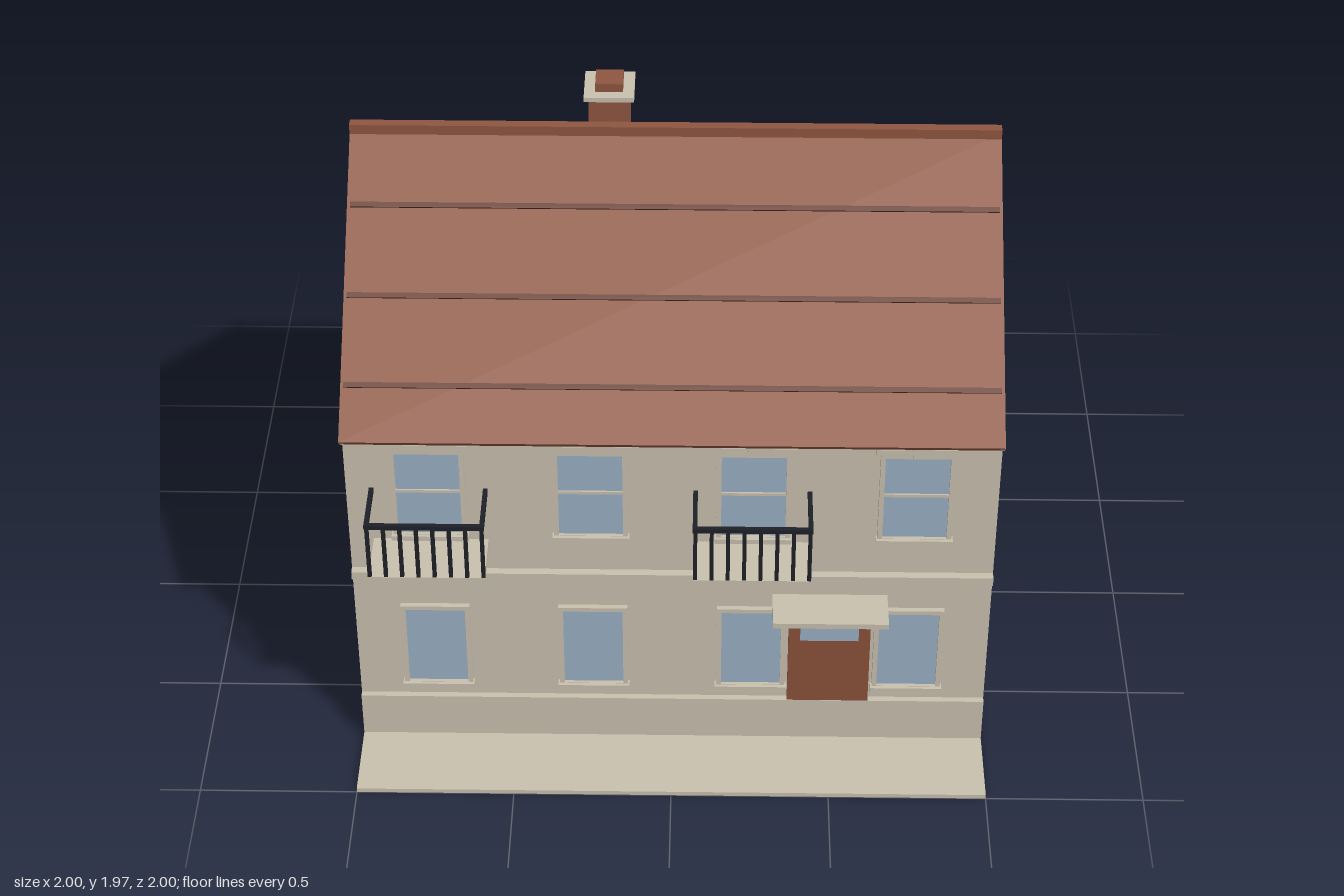
import * as THREE from 'three';

const mat = (name, color, extra = {}) => new THREE.MeshStandardMaterial({ name, color, ...extra });

export function createModel() {
  const stone = mat('stone', 0xc9c1af);
  const clay = mat('clay', 0x8f5640);
  const darkClay = mat('dark clay', 0x653727);
  const wood = mat('door wood', 0x8b513a);
  const glass = mat('glass', 0x9ab0c4);
  const iron = mat('iron', 0x1e2028);
  const leaf = mat('leaf', 0x4f8044, { flatShading: true });
  const red = mat('red flower', 0xb03a34);
  const pink = mat('pale flower', 0xdcb4ac);

  const model = new THREE.Group();
  model.name = 'townHouse';

  const add = (parent, name, geometry, material) => {
    const mesh = new THREE.Mesh(geometry, material);
    mesh.name = name;
    parent.add(mesh);
    return mesh;
  };
  // Box given by its limits on each axis
  const box = (parent, name, material, [x0, x1], [y0, y1], [z0, z1]) => {
    const mesh = add(parent, name, new THREE.BoxGeometry(x1 - x0, y1 - y0, z1 - z0), material);
    mesh.position.set((x0 + x1) / 2, (y0 + y1) / 2, (z0 + z1) / 2);
    return mesh;
  };
  const group = (name, x = 0, z = 0) => {
    const g = new THREE.Group();
    g.name = name;
    g.position.set(x, 0, z);
    model.add(g);
    return g;
  };
  // Profile of [z, y] points run along x
  const run = (name, material, points, x0, x1) => {
    const shape = new THREE.Shape(points.map(([z, y]) => new THREE.Vector2(z, y)));
    const geometry = new THREE.ExtrudeGeometry(shape, { depth: x1 - x0, bevelEnabled: false });
    geometry.rotateY(-Math.PI / 2).translate(x1, 0, 0);
    return add(model, name, geometry, material);
  };

  const FRONT = 0.72, BACK = -0.64, RIDGE = 0.04, TOP = 1.89, REACH = 0.76, EAVE = 1.26;
  const slope = (TOP - EAVE) / REACH;
  const angle = Math.atan(slope);
  const roofY = z => TOP - slope * Math.abs(z - RIDGE);

  // Ground and walls
  box(model, 'groundSlab', stone, [-1, 1], [0, 0.015], [-1, 1]);
  run('walls', stone, [
    [FRONT, 0.005], [FRONT, roofY(FRONT) - 0.025], [RIDGE, TOP - 0.025],
    [BACK, roofY(BACK) - 0.025], [BACK, 0.005],
  ], -1, 1);
  box(model, 'plinth', stone, [-1, 1], [0.005, 0.175], [FRONT - 0.01, 0.74]);
  box(model, 'floorBand', stone, [-1, 1], [0.672, 0.702], [FRONT - 0.01, 0.746]);
  box(model, 'cornice', stone, [-1, 1], [1.215, 1.245], [FRONT - 0.01, 0.755]);

  // Roof layers between two depths below the top surface
  const roofLayer = (name, material, t0, t1, x0, x1) => {
    const eave = (side, t) => [
      RIDGE + side * (REACH - t * Math.sin(angle)), EAVE - t * Math.cos(angle)];
    const apex = t => [RIDGE, TOP - t / Math.cos(angle)];
    run(name, material, [
      eave(1, t0), apex(t0), eave(-1, t0), eave(-1, t1), apex(t1), eave(1, t1),
    ], x0, x1);
  };
  roofLayer('roofTiles', clay, 0, 0.012, -1, 1);
  roofLayer('roofUnderside', clay, 0.012, 0.028, -0.985, 0.985);
  for (const s of [-1, 1]) {
    roofLayer('vergeBoard', stone, 0.012, 0.03, Math.min(s, s * 0.985), Math.max(s, s * 0.985));
  }
  box(model, 'ridgeCap', clay, [-1, 1], [1.87, 1.91], [0.023, 0.055]);
  for (const z of [0.23, 0.45, 0.665, -0.12, -0.335, -0.555]) {
    const strip = box(model, 'tileCourse', darkClay, [-0.99, 0.99], [0, 0.014], [0, 0.016]);
    strip.position.set(0, roofY(z) + 0.002, z);
    strip.rotation.x = Math.sign(z - RIDGE) * angle;
  }

  // Chimney
  const chimney = group('chimney', -0.207, -0.14);
  box(chimney, 'chimneyStack', clay, [-0.064, 0.064], [1.6, 1.928], [-0.064, 0.064]);
  box(chimney, 'chimneyCap', stone, [-0.078, 0.078], [1.926, 1.942], [-0.078, 0.078]);
  box(chimney, 'chimneyPot', clay, [-0.043, 0.043], [1.942, 1.97], [-0.043, 0.043]);

  // Window facing +z from its own wall plane; hw is half the glass width
  const windowAt = (name, x, z, hw, y0, y1, trim) => {
    const g = group(name, x, z);
    const rect = (Type, w, a, b) => new Type(
      [[-w, a], [w, a], [w, b], [-w, b]].map(p => new THREE.Vector2(...p)));
    const frame = rect(THREE.Shape, hw + 0.015, y0 - 0.015, y1 + 0.015);
    frame.holes.push(rect(THREE.Path, hw, y0, y1));
    add(g, 'windowFrame',
      new THREE.ExtrudeGeometry(frame, { depth: 0.017, bevelEnabled: false }), stone);
    box(g, 'windowPane', glass, [-hw, hw], [y0, y1], [-0.002, 0.006]);
    box(g, 'windowSill', stone, [-hw - 0.02, hw + 0.02], [y0 - 0.018, y0 - 0.001], [-0.005, 0.028]);
    if (trim) {
      box(g, 'windowBar', stone, [-hw, hw], [1.013, 1.023], [0, 0.012]);
      box(g, 'windowLintel', stone, [-hw - 0.031, hw + 0.031], [1.187, 1.207], [-0.005, 0.026]);
      box(g, 'keystone', stone, [-0.018, 0.018], [1.178, 1.215], [-0.005, 0.031]);
    }
    return g;
  };
  for (const x of [-0.747, -0.25, 0.25, 0.747]) {
    windowAt('upperWindow', x, FRONT, 0.099, 0.852, 1.166, true);
    windowAt('lowerWindow', x, FRONT, 0.094, 0.238, 0.54, false);
  }
  for (const x of [-0.67, 0, 0.67]) {
    windowAt('backWindow', x, BACK, 0.08, 0.858, 1.115, false).rotation.y = Math.PI;
  }

  // Balconies
  for (const x of [-0.747, 0.247]) {
    const g = group('balcony', x, FRONT);
    box(g, 'balconyFloor', stone, [-0.178, 0.178], [0.795, 0.82], [-0.01, 0.185]);
    box(g, 'frontRail', iron, [-0.182, 0.182], [1.007, 1.022], [0.17, 0.185]);
    for (const s of [-1, 1]) {
      box(g, 'sideRail', iron, [s * 0.175 - 0.007, s * 0.175 + 0.007], [1.007, 1.022], [0, 0.172]);
    }
    for (let i = 0; i < 8; i++) {
      const bx = -0.174 + i * 0.348 / 7;
      box(g, 'baluster', iron, [bx - 0.006, bx + 0.006], [0.82, 1.01], [0.172, 0.184]);
    }
  }

  // Doors and canopy
  box(model, 'frontDoor', wood, [0.368, 0.627], [0.175, 0.54], [FRONT - 0.01, 0.739]);
  box(model, 'doorPane', glass, [0.405, 0.59], [0.432, 0.52], [0.737, 0.742]);
  box(model, 'doorLintel', stone, [0.34, 0.655], [0.54, 0.575], [FRONT - 0.01, 0.746]);
  box(model, 'doorCanopy', stone, [0.315, 0.675], [0.588, 0.607], [FRONT - 0.01, 0.86]);
  box(model, 'backDoor', wood, [-0.125, 0.125], [0.015, 0.472], [-0.65, BACK + 0.01]);

  // Garden
  [-0.8, -0.56, -0.32, -0.16, 0, 0.2, 0.36, 0.52].forEach(x => {
    const bush = add(model, 'bush', new THREE.IcosahedronGeometry(1, 1), leaf);
    bush.scale.set(0.082, 0.069, 0.071);
    bush.position.set(x, 0.084, -0.91);
  });
  for (const [x, m] of [[-0.29, pink], [0.225, red], [0.545, pink]]) {
    const flower = add(model, 'flower', new THREE.IcosahedronGeometry(0.012, 1), m);
    flower.position.set(x, 0.132, -0.868);
  }
  const tree = group('tree', 0.755, -0.82);
  add(tree, 'trunk', new THREE.CylinderGeometry(0.014, 0.017, 0.24, 8), wood).position.y = 0.13;
  add(tree, 'crown', new THREE.IcosahedronGeometry(0.124, 1), leaf).position.y = 0.337;

  return model;
}
